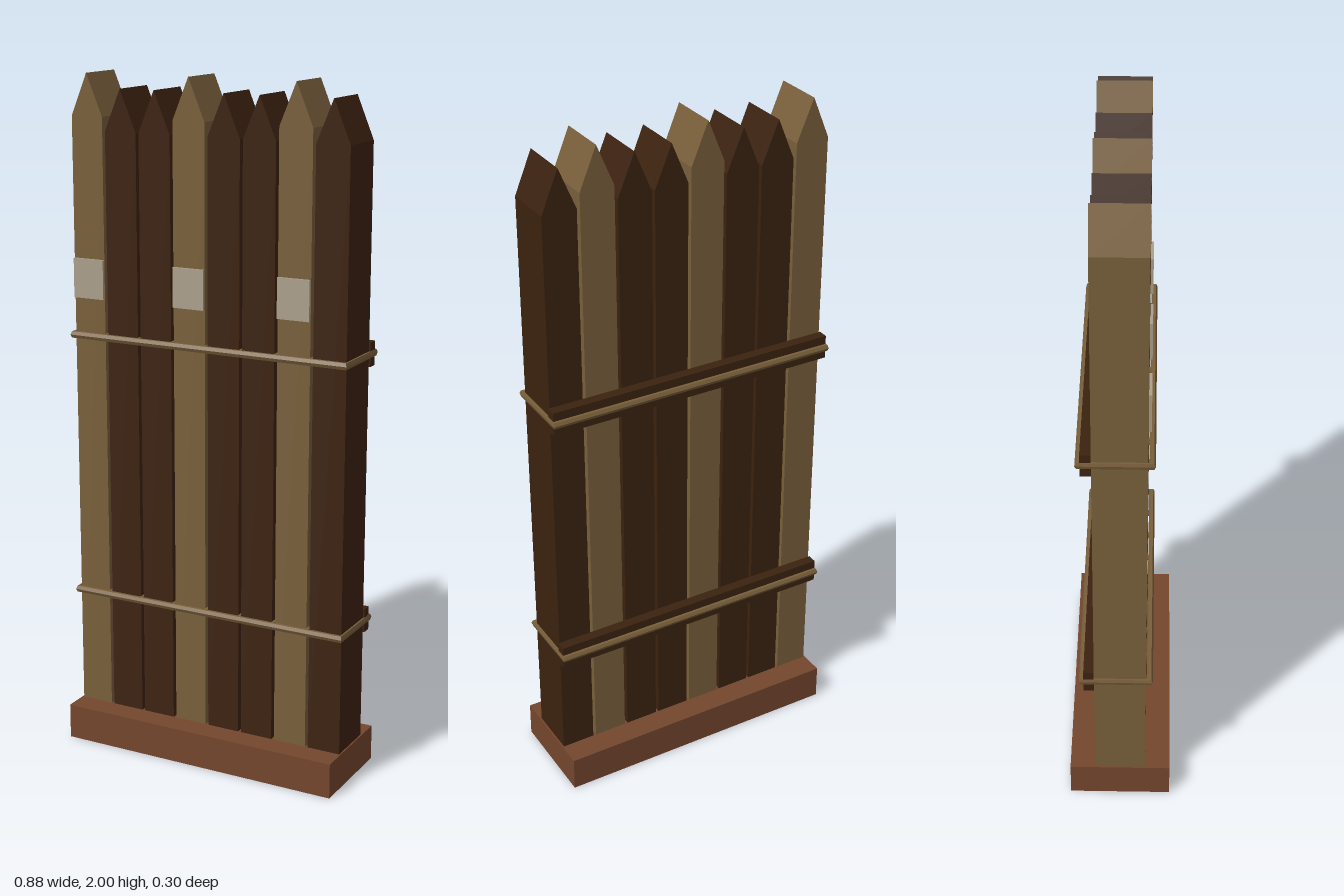
import * as THREE from 'three';

const SPACING = 0.109;
const COUNT = 8;

// One material per colour
const material = (name, color) => {
  const m = new THREE.MeshStandardMaterial({ color });
  m.name = name;
  return m;
};

// Flat-faced loop around a post: a hexagonal section mitred at four corners
function ropeLoop(halfX, halfZ, rx, ry, rz) {
  const corners = [[1, 1], [1, -1], [-1, -1], [-1, 1]];
  const sides = 6;
  const positions = [];
  const index = [];
  for (const [sx, sz] of corners) {
    for (let i = 0; i < sides; i++) {
      const a = (i / sides) * Math.PI * 2;
      positions.push(sx * (halfX + rx * Math.cos(a)), ry * Math.sin(a), sz * (halfZ + rz * Math.cos(a)));
    }
  }
  for (let c = 0; c < 4; c++) {
    for (let i = 0; i < sides; i++) {
      const j = (i + 1) % sides;
      const n = ((c + 1) % 4) * sides;
      const k = c * sides;
      index.push(k + i, n + i, n + j, k + i, n + j, k + j);
    }
  }
  const indexed = new THREE.BufferGeometry();
  indexed.setAttribute('position', new THREE.Float32BufferAttribute(positions, 3));
  indexed.setIndex(index);
  const geometry = indexed.toNonIndexed();
  geometry.computeVertexNormals();
  return geometry;
}

// Post with a ridge-shaped point, running from the base to the tip
function postGeometry(shoulder, tip) {
  const shape = new THREE.Shape();
  shape.moveTo(-0.05, 0.09);
  shape.lineTo(0.05, 0.09);
  shape.lineTo(0.05, shoulder);
  shape.lineTo(0, tip);
  shape.lineTo(-0.05, shoulder);
  shape.closePath();
  const geometry = new THREE.ExtrudeGeometry(shape, { depth: 0.15, bevelEnabled: false });
  geometry.translate(0, 0, -0.075);
  return geometry;
}

export function createModel() {
  const model = new THREE.Group();
  model.name = 'palisade';

  const lightWood = material('lightWood', 0x795f3b);
  const darkWood = material('darkWood', 0x3c2210);
  const earth = material('redBrownBase', 0x74462e);
  const pale = material('paleBand', 0xaa9f8b);

  const add = (name, geometry, mat, x, y, z) => {
    const mesh = new THREE.Mesh(geometry, mat);
    mesh.name = name;
    mesh.position.set(x, y, z);
    model.add(mesh);
  };

  // Base plinth
  add('base', new THREE.BoxGeometry(0.872, 0.105, 0.296), earth, 0, 0.0525, 0);

  // Posts: every third is taller, lighter and carries a pale band
  const tallPost = postGeometry(1.88, 2);
  const shortPost = postGeometry(1.84, 1.96);
  const band = new THREE.BoxGeometry(0.098, 0.115, 0.008);
  const rope = ropeLoop(0.053, 0.0975, 0.005, 0.011, 0.009);
  const railHeights = [0.463, 1.25];

  for (let i = 0; i < COUNT; i++) {
    const x = (i - (COUNT - 1) / 2) * SPACING;
    const tall = i % 3 === 0;
    add(tall ? 'tallPost' : 'shortPost', tall ? tallPost : shortPost, tall ? lightWood : darkWood, x, 0, 0);
    if (tall) add('paleBand', band, pale, x, 1.417, 0.079);
    // Rope loops binding the post to each rail
    for (const y of railHeights) add('ropeLoop', rope, lightWood, x, y, -0.0115);
  }

  // Back rails
  for (const y of railHeights) {
    add('backRail', new THREE.BoxGeometry(0.872, 0.07, 0.03), darkWood, 0, y, -0.09);
  }

  return model;
}
